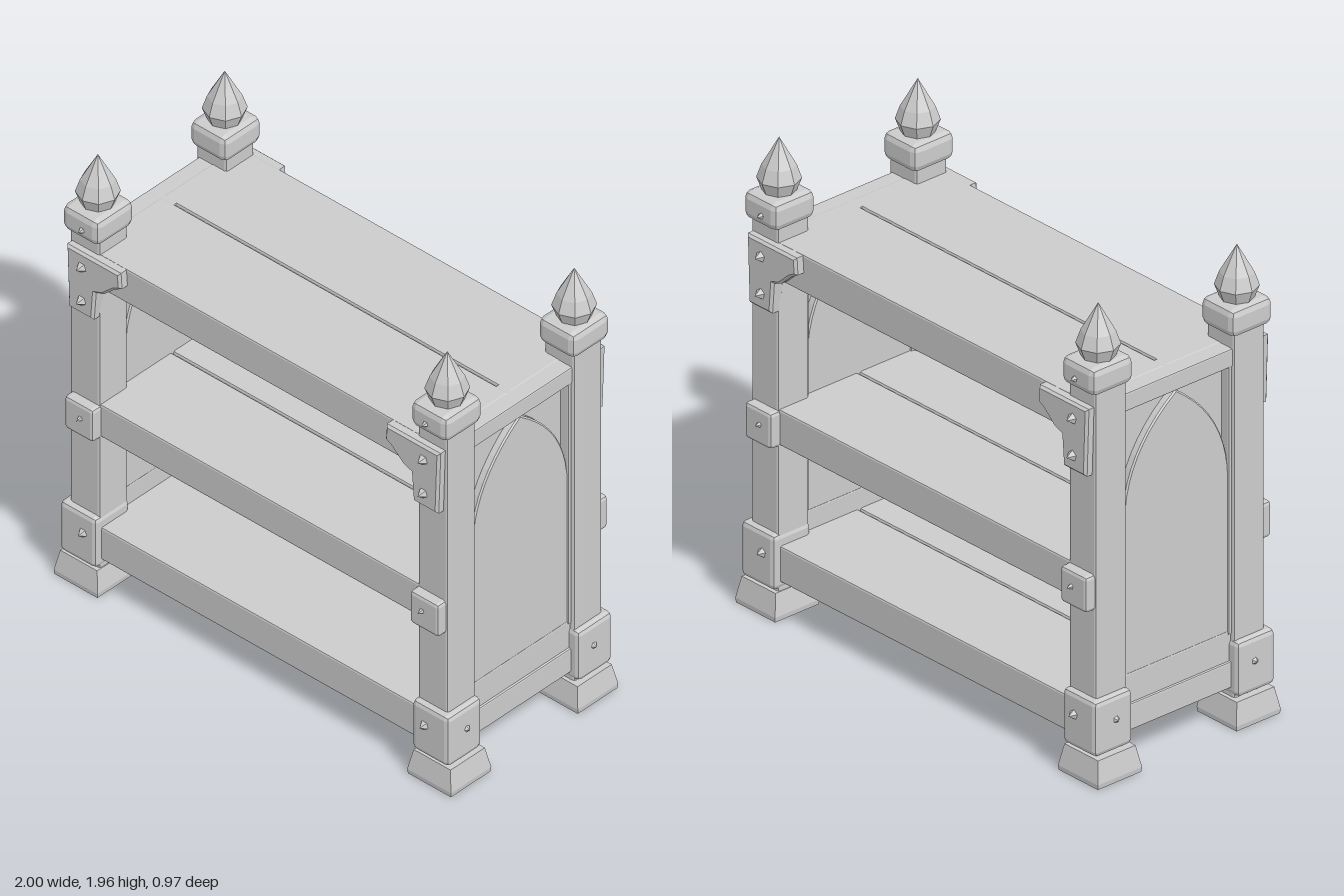
import * as THREE from 'three';
import { RoundedBoxGeometry } from 'three/addons/geometries/RoundedBoxGeometry.js';

export function createModel() {
  const model = new THREE.Group();
  const stone = new THREE.MeshStandardMaterial({ color: 0xcccccc });
  stone.name = 'pale stone';

  const add = (parent, name, geo, x = 0, y = 0, z = 0) => {
    if (geo.index) geo = geo.toNonIndexed();
    geo.computeVertexNormals();
    const mesh = new THREE.Mesh(geo, stone);
    mesh.name = name;
    mesh.position.set(x, y, z);
    parent.add(mesh);
    return mesh;
  };
  // chamfered block given by its min and max on each axis
  const block = (parent, name, x0, x1, y0, y1, z0, z1, r = 0.012) =>
    add(parent, name, new RoundedBoxGeometry(Math.abs(x1 - x0), y1 - y0, Math.abs(z1 - z0), 1, r),
      (x0 + x1) / 2, (y0 + y1) / 2, (z0 + z1) / 2);
  // four-sided tapered block, half widths at bottom and top
  const taper = (bottom, top, h) =>
    new THREE.CylinderGeometry(top * Math.SQRT2, bottom * Math.SQRT2, h, 4).rotateY(Math.PI / 4);
  const extrude = (shape, depth, bevel) => new THREE.ExtrudeGeometry(shape, {
    depth: depth - 2 * bevel, bevelEnabled: bevel > 0, bevelSize: bevel, bevelOffset: -bevel,
    bevelThickness: bevel, bevelSegments: 1, curveSegments: 10,
  }).translate(0, 0, bevel - depth / 2);

  // corner posts with feet, collars, finials and iron-like fittings
  for (const sx of [-1, 1]) for (const sz of [-1, 1]) {
    const post = new THREE.Group();
    post.name = `${sz > 0 ? 'front' : 'back'}${sx > 0 ? 'Left' : 'Right'}Post`;
    model.add(post);
    const b = (name, x0, x1, y0, y1, z0, z1, r) =>
      block(post, name, sx * x0, sx * x1, y0, y1, sz * z0, sz * z1, r);
    const studFace = (x, y, z, r = 0.03) =>
      add(post, 'stud', new THREE.ConeGeometry(r, 0.04, 5).rotateX(sz * Math.PI / 2), sx * x, y, sz * z);
    const studSide = (y, x) =>
      add(post, 'sideStud', new THREE.ConeGeometry(0.03, 0.03, 5).rotateZ(-sx * Math.PI / 2), sx * x, y, sz * 0.345);

    b('shaft', 0.8, 0.952, 0.08, 1.7, 0.268, 0.42);
    add(post, 'foot', taper(0.11, 0.093, 0.09), sx * 0.89, 0.065, sz * 0.345);
    add(post, 'footBase', taper(0.108, 0.11, 0.02), sx * 0.89, 0.01, sz * 0.345);
    b('lowerCollar', 0.795, 0.98, 0.12, 0.35, 0.262, 0.448, 0.02);
    b('middlePlate', 0.797, 0.943, 0.715, 0.865, 0.38, 0.462, 0.015);
    b('upperCollar', 0.785, 0.97, 1.62, 1.735, 0.245, 0.448, 0.028);

    // pointed finial
    add(post, 'finial', new THREE.LatheGeometry([[0, 1.7], [0.06, 1.72], [0.085, 1.785], [0.066, 1.84], [0, 1.955]]
      .map(p => new THREE.Vector2(...p)), 8), sx * 0.88, 0, sz * 0.345);

    // stepped corner bracket
    const bracket = new THREE.Shape([[0.94, 1.565], [0.67, 1.565], [0.665, 1.495], [0.7, 1.475], [0.755, 1.425],
      [0.795, 1.41], [0.805, 1.28], [0.93, 1.28]].map(([x, y]) => new THREE.Vector2(sx * x, y)));
    add(post, 'bracket', extrude(bracket, 0.06, 0.01), 0, 0, sz * 0.425);

    studFace(0.86, 1.5, 0.465);
    studFace(0.86, 1.345, 0.465);
    studFace(0.86, 0.8, 0.465, 0.02);
    studFace(0.86, 0.26, 0.455);
    studFace(0.865, 1.665, 0.45, 0.024);
    studSide(0.25, 0.98);
  }

  // shelves: two planks with a seam
  [[0.15, 0.3], [0.72, 0.87], [1.41, 1.568]].forEach(([y0, y1], i) => {
    const shelf = new THREE.Group();
    shelf.name = ['bottomShelf', 'middleShelf', 'topShelf'][i];
    model.add(shelf);
    for (const s of [-1, 1]) block(shelf, 'plank', -0.875, 0.875, y0, y1, s * 0.005, s * 0.416, 0.008);
    block(shelf, 'seam', -0.87, 0.87, y0 + 0.005, y1 - 0.025, -0.01, 0.01, 0.002);
  });

  // pointed opening: half width w around u, from the sill to spring to peak
  const lancet = (path, u, w, sill, spring, peak) => {
    path.moveTo(u - w, sill);
    path.lineTo(u + w, sill);
    path.lineTo(u + w, spring);
    path.quadraticCurveTo(u + w, spring + (peak - spring) * 0.6, u, peak);
    path.quadraticCurveTo(u - w, spring + (peak - spring) * 0.6, u - w, spring);
    path.closePath();
    return path;
  };
  // four-lobed opening, lobes centred a distance d from the middle
  const quatrefoil = (path, cy, d, r) => {
    for (let i = 0; i < 4; i++) {
      const a = i * Math.PI / 2;
      path.absarc(d * Math.cos(a), cy + d * Math.sin(a), r, a - 1.85, a + 1.85, false);
    }
    path.closePath();
    return path;
  };
  const curved = points => {
    const path = new THREE.Path();
    path.setFromPoints(points.map(p => new THREE.Vector2(...p)));
    return path;
  };

  // traceried end panels, carved on both faces
  for (const sx of [-1, 1]) {
    const panel = new THREE.Group();
    panel.name = sx > 0 ? 'leftPanel' : 'rightPanel';
    model.add(panel);
    const carve = (name, shape, depth, bevel) =>
      add(panel, name, extrude(shape, depth, bevel).rotateY(Math.PI / 2), sx * 0.875);
    const rail = (name, y0, y1, z0, z1, half) =>
      block(panel, name, 0.875 * sx - half, 0.875 * sx + half, y0, y1, z0, z1, 0.006);

    rail('backing', 0.2, 1.53, -0.28, 0.28, 0.02);
    rail('bottomRail', 0.15, 0.26, -0.28, 0.28, 0.065);
    rail('sill', 0.25, 0.385, -0.28, 0.28, 0.055);
    rail('topRail', 1.49, 1.566, -0.28, 0.28, 0.065);
    for (const s of [-1, 1]) rail('stile', 0.37, 1.5, s * 0.255, s * 0.285, 0.06);

    // outer arch moulding
    const arch = lancet(new THREE.Shape(), 0, 0.262, 0.375, 1.02, 1.485);
    arch.holes.push(lancet(new THREE.Path(), 0, 0.232, 0.385, 1.02, 1.415));
    carve('archMoulding', arch, 0.105, 0.006);

    // inner tracery with twin lancets, quatrefoil and daggers
    const tracery = lancet(new THREE.Shape(), 0, 0.24, 0.375, 1.02, 1.425);
    for (const s of [-1, 1]) {
      tracery.holes.push(lancet(new THREE.Path(), s * 0.131, 0.093, 0.39, 0.94, 1.13));
      tracery.holes.push(curved([[s * 0.205, 1.11], [s * 0.185, 1.18], [s * 0.13, 1.25], [s * 0.115, 1.2], [s * 0.145, 1.15]]));
    }
    tracery.holes.push(curved([[-0.06, 1.14], [0, 1.05], [0.06, 1.14], [0, 1.125]]));
    tracery.holes.push(quatrefoil(new THREE.Path(), 1.25, 0.058, 0.043));
    carve('tracery', tracery, 0.08, 0.004);

    // raised ring around the quatrefoil
    const ring = quatrefoil(new THREE.Shape(), 1.25, 0.062, 0.052);
    ring.holes.push(quatrefoil(new THREE.Path(), 1.25, 0.058, 0.04));
    carve('quatrefoilRing', ring, 0.095, 0);
  }
  return model;
}
